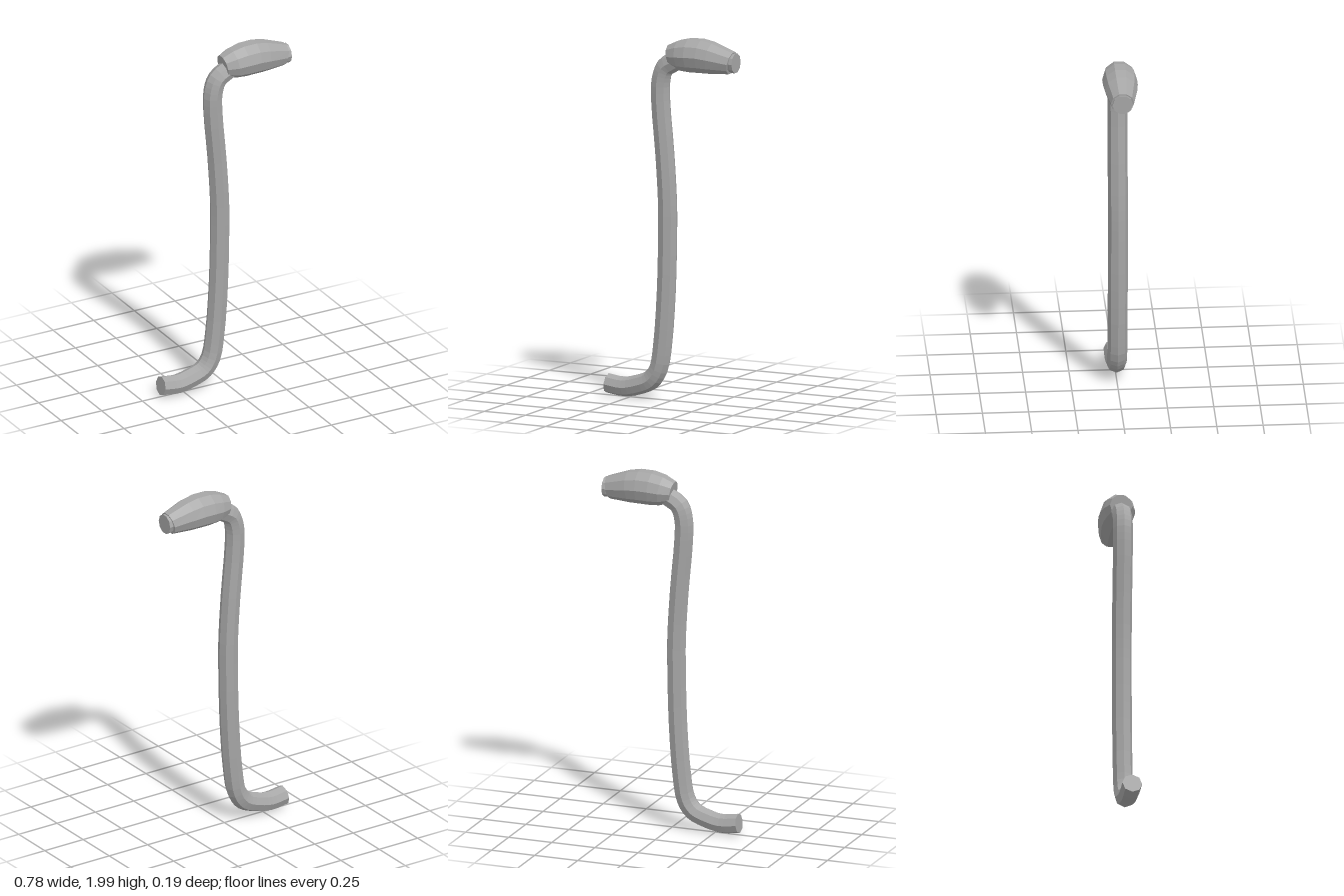
import * as THREE from 'three';

const grey = new THREE.MeshStandardMaterial({ color: 0xa6a6a6, flatShading: true });
grey.name = 'grey';

// Capped sweep in the xy plane; each ring is [x, y, radius, axis angle]
function sweep(name, rings, sides, phase) {
  const pos = [], index = [];
  for (const [x, y, r, a] of rings) {
    for (let i = 0; i < sides; i++) {
      const t = ((i + phase) / sides) * Math.PI * 2;
      const up = r * Math.cos(t);
      pos.push(x - up * Math.sin(a), y + up * Math.cos(a), r * Math.sin(t));
    }
  }
  for (let k = 0; k < rings.length - 1; k++) {
    for (let i = 0; i < sides; i++) {
      const j = (i + 1) % sides;
      const a = k * sides + i, b = k * sides + j, c = a + sides, d = b + sides;
      index.push(a, b, c, b, d, c);
    }
  }
  const last = (rings.length - 1) * sides;
  for (let i = 1; i < sides - 1; i++) {
    index.push(0, i + 1, i, last, last + i, last + i + 1);
  }
  const geometry = new THREE.BufferGeometry();
  geometry.setAttribute('position', new THREE.Float32BufferAttribute(pos, 3));
  geometry.setIndex(index);
  geometry.computeVertexNormals();
  const mesh = new THREE.Mesh(geometry, grey);
  mesh.name = name;
  return mesh;
}

export function createModel() {
  const group = new THREE.Group();
  group.name = 'bentHandle';

  // Long octagonal rod, from the foot up into the grip
  const path = new THREE.CatmullRomCurve3([
    [-0.387, 0.073], [-0.285, 0.062], [-0.2, 0.08], [-0.125, 0.112],
    [-0.08, 0.175], [-0.055, 0.31], [-0.033, 0.6], [-0.025, 0.9],
    [-0.025, 1.08], [-0.041, 1.35], [-0.067, 1.65], [-0.065, 1.76],
    [-0.04, 1.83], [0.03, 1.875],
  ].map(([x, y]) => new THREE.Vector3(x, y, 0)));
  const rod = [];
  for (let i = 0; i <= 39; i++) {
    const p = path.getPoint(i / 39), t = path.getTangent(i / 39);
    rod.push([p.x, p.y, 0.054, Math.atan2(t.y, t.x)]);
  }
  group.add(sweep('rod', rod, 8, 0));

  // Swollen ten-sided grip, arched on top and flatter below
  group.add(sweep('grip', [
    [-0.005, 1.9, 0.061, 0.17],
    [0.055, 1.905, 0.085, 0.13],
    [0.115, 1.911, 0.094, 0.06],
    [0.185, 1.912, 0.094, -0.03],
    [0.245, 1.906, 0.088, -0.1],
    [0.365, 1.887, 0.063, -0.2],
  ], 10, 0.5));

  // Short tip at the end of the grip
  group.add(sweep('tip', [
    [0.35, 1.888, 0.048, 0],
    [0.372, 1.888, 0.054, 0],
    [0.39, 1.888, 0.055, 0],
  ], 10, 0.5));

  return group;
}
